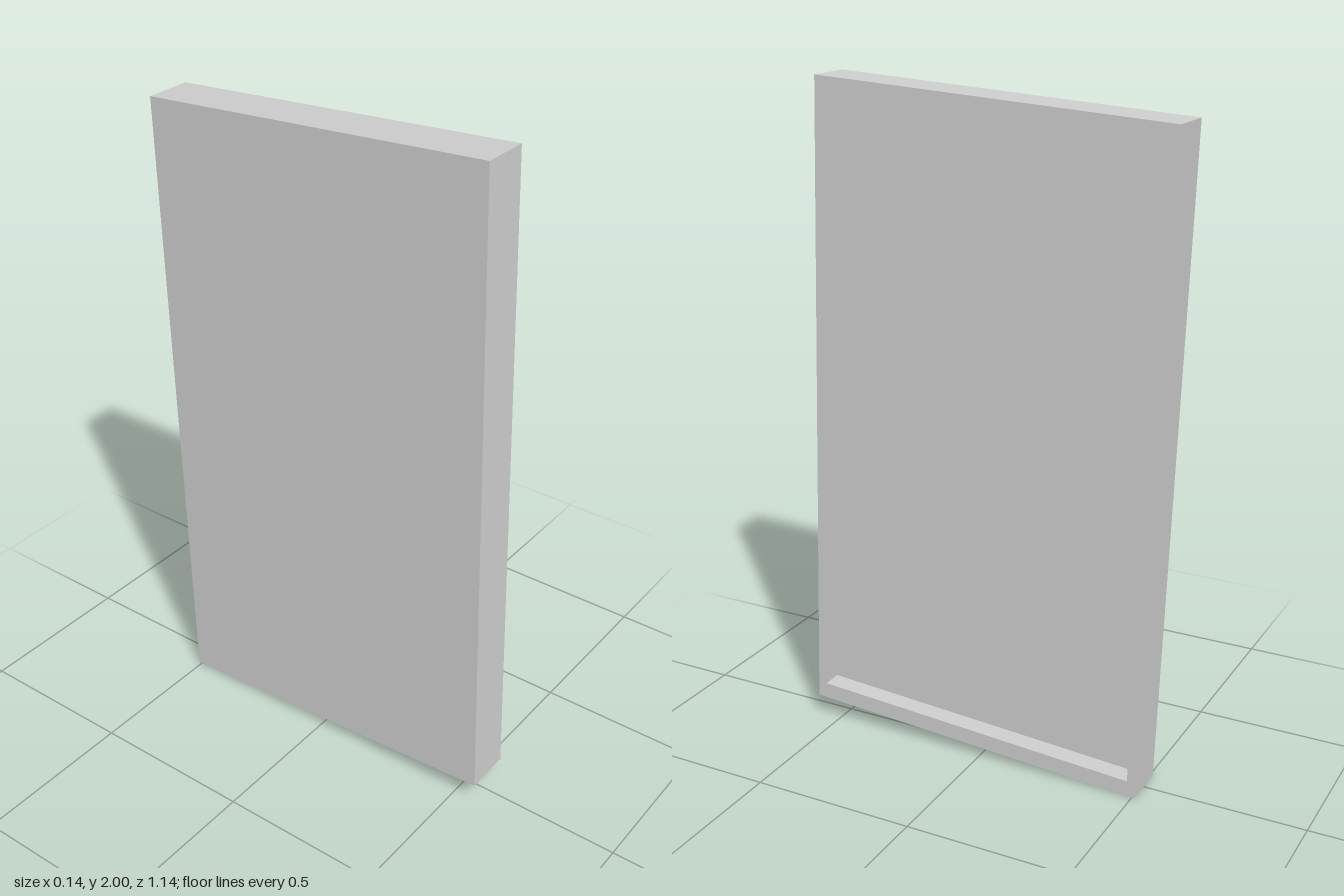
import * as THREE from 'three';

// Slightly skewed rectangle seen from +x, counter-clockwise, at depth x
function loop(x, z1, y1, z2, y2) {
  return [[z1, -y1], [-z2, -y2], [-z1, y1], [z2, y2]]
    .map(([z, y]) => [x, y + 1, z]);
}

export function createModel() {
  const group = new THREE.Group();
  const half = 0.072, floor = 0.01;
  const outer = [0.572, 0.932, 0.508, 1];
  const inner = [0.543, 0.885, 0.484, 0.95];

  // Back edge, front edge, rim edge and recessed floor
  const loops = [
    loop(-half, ...outer), loop(half, ...outer),
    loop(half, ...inner), loop(floor, ...inner),
  ];

  const positions = [];
  const quad = (a, b, c, d) => positions.push(...a, ...b, ...c, ...a, ...c, ...d);

  // Outer sides, front rim and inner walls
  for (let i = 0; i < 3; i++) {
    for (let j = 0; j < 4; j++) {
      const k = (j + 1) % 4;
      quad(loops[i][j], loops[i][k], loops[i + 1][k], loops[i + 1][j]);
    }
  }
  // Recessed panel and flat back
  quad(...loops[3]);
  quad(...[...loops[0]].reverse());

  const geometry = new THREE.BufferGeometry();
  geometry.setAttribute('position', new THREE.Float32BufferAttribute(positions, 3));
  geometry.computeVertexNormals();

  const panel = new THREE.Mesh(
    geometry,
    new THREE.MeshStandardMaterial({ color: 0xcccccc, flatShading: true })
  );
  panel.name = 'framedPanel';
  group.add(panel);
  return group;
}
